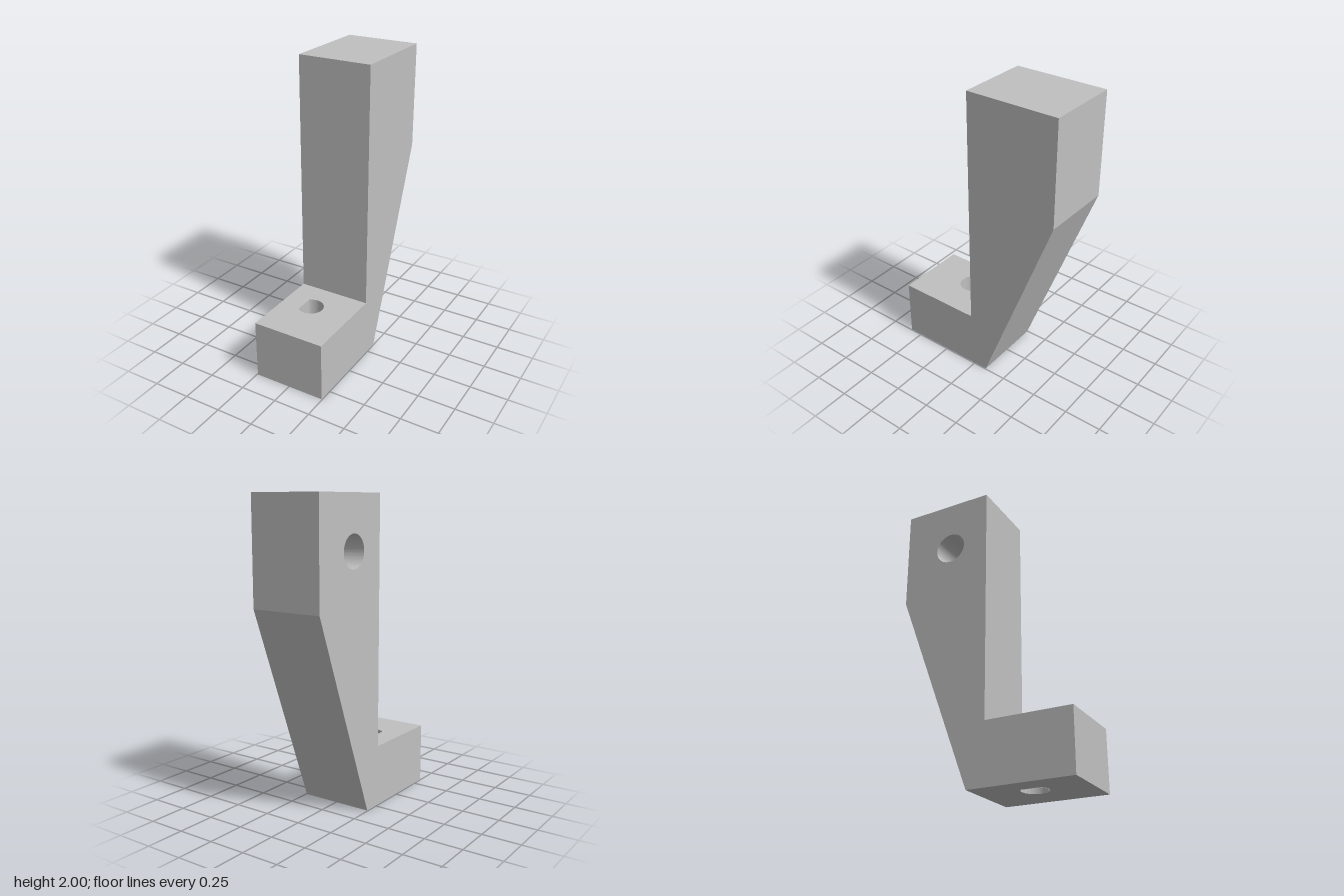
import * as THREE from 'three';
import { toCreasedNormals } from 'three/addons/utils/BufferGeometryUtils.js';

const HALF = 0.245;         // half width in x
const BORE_DEPTH = 0.36;    // blind hole in the right side
const SEGMENTS = 48;

// Side profile as [z, y], starting at the lower front corner
const PROFILE = [
  [0.59, 0], [0.59, 0.4], [0.025, 0.4], [0.025, 2],
  [-0.59, 2], [-0.59, 1.32], [-0.095, 0],
];
const EDGE_NAMES = ['footFront', 'footTop', 'columnFront', 'columnTop', 'columnBack', 'slopedBack', 'underside'];

// Frame whose local z is the outward normal of a panel
function frame(origin, u, v) {
  const n = new THREE.Vector3().crossVectors(u, v);
  return new THREE.Matrix4().makeBasis(u, v, n).setPosition(origin);
}

// Teardrop outline: a circle with tangents running to a point towards -x
function teardrop(x, y, r, tipDistance) {
  const a = Math.acos(r / tipDistance);
  const path = new THREE.Path();
  path.moveTo(x - tipDistance, y);
  path.absarc(x, y, r, Math.PI + a, 3 * Math.PI - a, false);
  path.closePath();
  return path;
}

// Wall of a hole, running inwards from its panel
function holeWall(path, depth) {
  const points = path.getPoints(SEGMENTS);
  const positions = [], index = [];
  points.forEach((p, i) => {
    positions.push(p.x, p.y, 0, p.x, p.y, -depth);
    if (i === 0) return;
    const a = 2 * (i - 1);
    index.push(a, a + 1, a + 2, a + 2, a + 1, a + 3);
  });
  const geometry = new THREE.BufferGeometry();
  geometry.setAttribute('position', new THREE.Float32BufferAttribute(positions, 3));
  geometry.setIndex(index);
  return toCreasedNormals(geometry, 0.5);
}

export function createModel() {
  const group = new THREE.Group();
  group.name = 'bracket';
  const grey = new THREE.MeshStandardMaterial({ color: 0xc0c0c0, side: THREE.DoubleSide });
  grey.name = 'grey';

  const add = (name, geometry, matrix) => {
    const mesh = new THREE.Mesh(geometry.applyMatrix4(matrix), grey);
    mesh.name = name;
    group.add(mesh);
  };
  const panel = (shape) => new THREE.ShapeGeometry(shape, SEGMENTS);
  const X = new THREE.Vector3(1, 0, 0);
  const Y = new THREE.Vector3(0, 1, 0);
  const Z = new THREE.Vector3(0, 0, 1);

  // Faces along the profile; the foot is pierced by the teardrop hole
  const drop = teardrop(-0.046, 0.345, 0.085, 0.132);
  PROFILE.forEach(([z, y], i) => {
    const [z2, y2] = PROFILE[(i + 1) % PROFILE.length];
    const start = new THREE.Vector3(0, y, z);
    const along = new THREE.Vector3(0, y2 - y, z2 - z);
    const length = along.length();
    const shape = new THREE.Shape([
      new THREE.Vector2(-HALF, 0), new THREE.Vector2(HALF, 0),
      new THREE.Vector2(HALF, length), new THREE.Vector2(-HALF, length),
    ]);
    const name = EDGE_NAMES[i];
    const matrix = frame(start, X, along.normalize());
    if (name === 'footTop' || name === 'underside') shape.holes.push(drop);
    add(name, panel(shape), matrix);
    if (name === 'footTop') add('teardropHole', holeWall(drop, 0.4), matrix);
  });

  // Left side, plain
  const leftShape = new THREE.Shape(PROFILE.map(([z, y]) => new THREE.Vector2(-z, y)));
  add('leftSide', panel(leftShape), frame(new THREE.Vector3(HALF, 0, 0), Z.clone().negate(), Y));

  // Right side with the blind round bore
  const bore = new THREE.Path().absarc(-0.25, 1.66, 0.105, 0, Math.PI * 2, false);
  const rightShape = new THREE.Shape(PROFILE.map(([z, y]) => new THREE.Vector2(z, y)));
  rightShape.holes.push(bore);
  const rightFrame = frame(new THREE.Vector3(-HALF, 0, 0), Z, Y);
  add('rightSide', panel(rightShape), rightFrame);
  add('boreWall', holeWall(bore, BORE_DEPTH), rightFrame);
  const floor = new THREE.Shape(bore.getPoints(SEGMENTS));
  add('boreFloor', panel(floor), frame(new THREE.Vector3(-HALF + BORE_DEPTH, 0, 0), Z, Y));

  return group;
}
